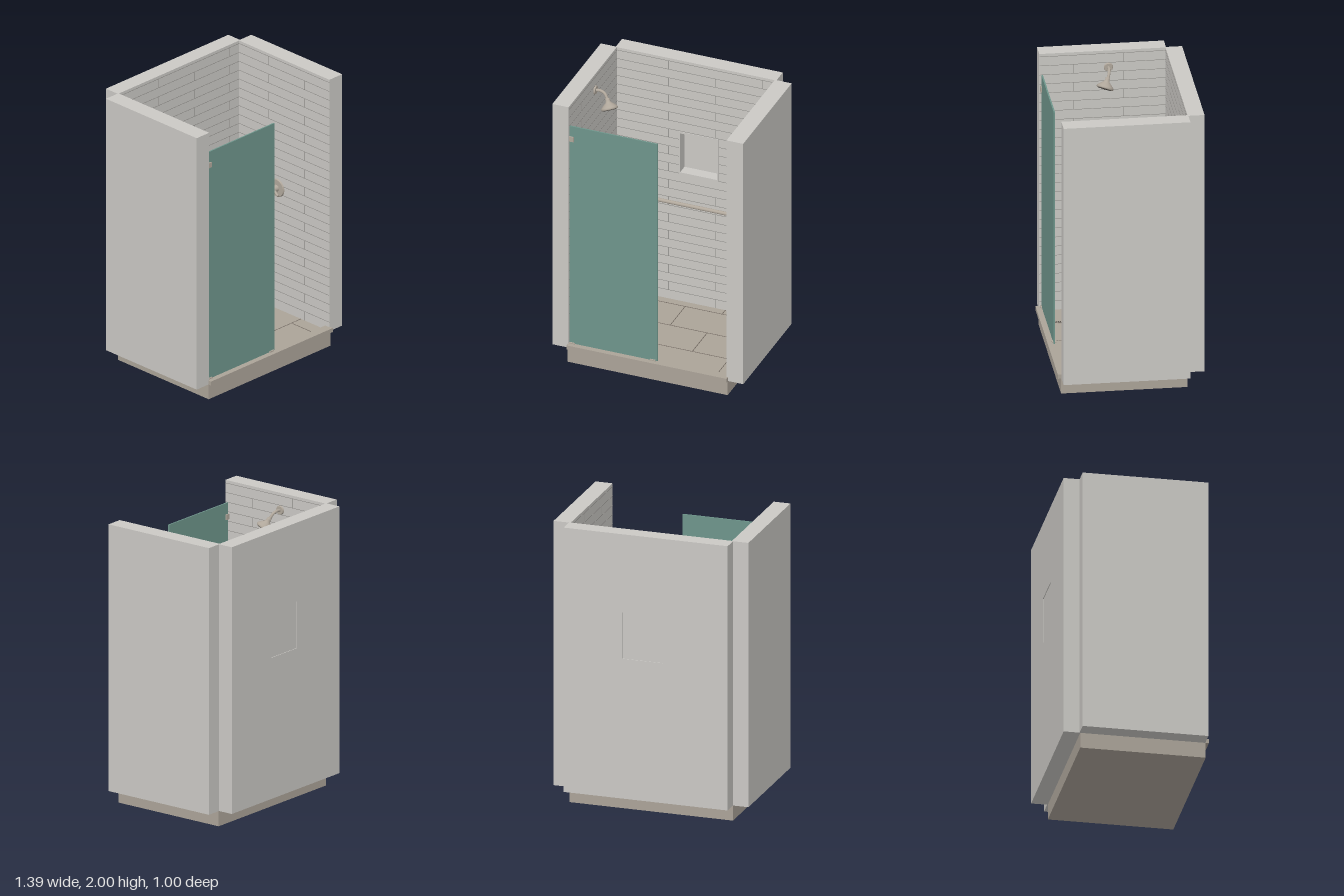
import * as THREE from 'three';

const mat = (name, color, side = THREE.FrontSide) => {
  const m = new THREE.MeshStandardMaterial({ color, side });
  m.name = name;
  return m;
};

export function createModel() {
  const wall = mat('light grey wall', 0xcac8c4);
  const grout = mat('grey grout', 0x8f8d89);
  const floor = mat('beige stone', 0xaba398);
  const floorGrout = mat('brown floor grout', 0x776f66);
  const metal = mat('brushed nickel', 0xb0a79b);
  const dark = mat('dark slots', 0x36322e);
  const glass = mat('green glass', 0x6e958b);

  const model = new THREE.Group();
  model.name = 'showerStall';
  const group = (name, parent = model) => {
    const g = new THREE.Group();
    g.name = name;
    parent.add(g);
    return g;
  };
  const add = (name, geo, m, parent = model) => {
    const mesh = new THREE.Mesh(geo, m);
    mesh.name = name;
    parent.add(mesh);
    return mesh;
  };
  // Box given by its lower and upper corners
  const box = (name, x0, y0, z0, x1, y1, z1, m, parent) => {
    const b = add(name, new THREE.BoxGeometry(x1 - x0, y1 - y0, z1 - z0), m, parent);
    b.position.set((x0 + x1) / 2, (y0 + y1) / 2, (z0 + z1) / 2);
    return b;
  };
  // Cylinder between two points
  const rod = (name, a, b, r0, r1, m, parent, sides = 24) => {
    const p = new THREE.Vector3(...a), q = new THREE.Vector3(...b);
    const d = q.clone().sub(p);
    const c = add(name, new THREE.CylinderGeometry(r1, r0, d.length(), sides), m, parent);
    c.position.copy(p).add(q).multiplyScalar(0.5);
    c.quaternion.setFromUnitVectors(new THREE.Vector3(0, 1, 0), d.normalize());
    return c;
  };

  // Base and front curb
  const FLOOR = 0.11, L = -0.578, R = 0.575, BACK = -0.385;
  box('base', -0.585, 0, BACK, 0.585, FLOOR, 0.478, floor);
  box('curb', -0.585, FLOOR, 0.435, 0.585, 0.14, 0.5, floor);

  // Side walls
  box('rightWall', -0.697, FLOOR, -0.39, L, 2, 0.475, wall);
  box('leftWall', R, FLOOR, -0.39, 0.697, 2, 0.475, wall);

  // Back wall with the niche opening
  const N = { x0: -0.122, x1: 0.165, y0: 1.11, y1: 1.44 };
  const rect = (T, x0, y0, x1, y1) => {
    const s = new T();
    s.moveTo(x0, y0).lineTo(x1, y0).lineTo(x1, y1).lineTo(x0, y1).closePath();
    return s;
  };
  const backShape = rect(THREE.Shape, -0.587, FLOOR, 0.587, 2);
  backShape.holes.push(rect(THREE.Path, N.x0, N.y0, N.x1, N.y1));
  add('backWall', new THREE.ExtrudeGeometry(backShape, { depth: 0.115, bevelEnabled: false }), wall)
    .position.z = -0.5;
  box('nicheBack', N.x0, N.y0, -0.495, N.x1, N.y1, -0.48, wall);
  const trim = rect(THREE.Shape, N.x0 - 0.002, N.y0 - 0.002, N.x1 + 0.002, N.y1 + 0.002);
  trim.holes.push(rect(THREE.Path, N.x0 + 0.008, N.y0 + 0.012, N.x1 - 0.008, N.y1 - 0.012));
  add('nicheTrim', new THREE.ExtrudeGeometry(trim, { depth: 0.015, bevelEnabled: false }), wall)
    .position.z = BACK - 0.011;

  // Wall tile joints: rows in running bond on three walls
  const joints = group('wallTileJoints');
  const t = 0.0015, row = 0.0667, w = 0.0015;
  for (let k = 0; k < 28; k++) {
    const y = 0.178 + k * row;
    const inNiche = (yy) => yy > N.y0 - 0.003 && yy < N.y1 + 0.003;
    const top = Math.min(y, 2), low = Math.max(y - row, FLOOR);
    if (y < 1.99) {
      const spans = inNiche(y) ? [[L, N.x0 - 0.002], [N.x1 + 0.002, R]] : [[L, R]];
      for (const [a, b] of spans) box('backJoint', a, y - w, BACK, b, y + w, BACK + t, grout, joints);
      box('rightJoint', L, y - w, BACK, L + t, y + w, 0.474, grout, joints);
      box('leftJoint', R - t, y - w, BACK, R, y + w, 0.474, grout, joints);
    }
    const xs = k % 2 ? [-0.2, 0.485] : [0.142];
    for (const x of xs) {
      if (x > N.x0 && x < N.x1 && top > N.y0 && low < N.y1) continue;
      box('backUpright', x - w, low, BACK, x + w, top, BACK + t, grout, joints);
    }
    const z = k % 2 ? -0.1 : 0.24;
    box('rightUpright', L, low, z - w, L + t, top, z + w, grout, joints);
    box('leftUpright', R - t, low, z - w, R, top, z + w, grout, joints);
  }

  // Floor tile joints
  const floorJoints = group('floorTileJoints');
  const zs = [BACK, -0.327, -0.06, 0.205, 0.435], f = 0.003;
  for (let i = 0; i < 4; i++) {
    if (i) box('floorRow', L, FLOOR, zs[i] - f, R, FLOOR + 0.001, zs[i] + f, floorGrout, floorJoints);
    for (const x of i % 2 ? [-0.055, 0.483] : [-0.322, 0.215])
      box('floorCross', x - f, FLOOR, zs[i], x + f, FLOOR + 0.001, zs[i + 1], floorGrout, floorJoints);
  }

  // Linear drain with a chevron grate
  const drain = group('drain');
  const dx = -0.357;
  box('drainCover', dx - 0.018, FLOOR, -0.38, dx + 0.018, FLOOR + 0.003, 0.432, metal, drain);
  for (let i = 0; i < 52; i++) {
    for (const s of [-1, 1]) {
      const slot = add('drainSlot', new THREE.BoxGeometry(0.016, 0.001, 0.005), dark, drain);
      slot.position.set(dx + s * 0.008, FLOOR + 0.0033, -0.37 + i * 0.0155);
      slot.rotation.y = s * 0.6;
    }
  }

  // Corner seat: triangular slab
  const tri = new THREE.Shape();
  tri.moveTo(0.285, -BACK).lineTo(R, 0.04).lineTo(R, -BACK).closePath();
  const seat = add('cornerSeat', new THREE.ExtrudeGeometry(tri, { depth: 0.05, bevelEnabled: false }), wall);
  seat.rotation.x = -Math.PI / 2;
  seat.position.y = 0.475;

  // Glass panel and its clips
  box('glassPanel', -0.576, 0.14, 0.45, 0.065, 1.845, 0.46, glass);
  const clips = group('glassClips');
  for (const x of [-0.557, 0.032])
    box('bottomClip', x - 0.02, 0.138, 0.441, x + 0.02, 0.148, 0.469, metal, clips);
  box('wallClip', L, 1.728, 0.441, -0.546, 1.766, 0.469, metal, clips);

  // Grab bar
  const bar = group('grabBar');
  rod('barTube', [-0.365, 0.9, -0.338], [0.33, 0.9, -0.338], 0.013, 0.013, metal, bar);
  for (const x of [-0.357, 0.32]) {
    rod('barPost', [x, 0.9, BACK], [x, 0.9, -0.328], 0.013, 0.013, metal, bar);
    rod('barFlange', [x, 0.9, BACK], [x, 0.9, BACK + 0.008], 0.028, 0.028, metal, bar);
  }

  // Shower head on a bent arm
  const shower = group('showerHead');
  rod('armFlange', [L, 1.878, 0.003], [L + 0.01, 1.878, 0.003], 0.032, 0.028, metal, shower);
  const arm = new THREE.CatmullRomCurve3([[L, 1.878, 0.003], [-0.535, 1.88, 0.003],
    [-0.505, 1.868, 0.008], [-0.483, 1.838, 0.018]].map((p) => new THREE.Vector3(...p)));
  add('arm', new THREE.TubeGeometry(arm, 20, 0.01, 14), metal, shower);
  const bell = [[0, 0], [0.054, 0], [0.059, 0.006], [0.057, 0.016], [0.036, 0.036],
    [0.019, 0.05], [0.015, 0.066], [0.016, 0.078], [0, 0.082]].map((p) => new THREE.Vector2(...p));
  const head = group('head', shower);
  add('headBell', new THREE.LatheGeometry(bell, 32), metal, head);
  add('headFace', new THREE.CylinderGeometry(0.046, 0.046, 0.004, 32), dark, head).position.y = -0.001;
  head.position.set(-0.453, 1.774, 0.045);
  head.quaternion.setFromUnitVectors(new THREE.Vector3(0, 1, 0),
    new THREE.Vector3(-0.03, 0.07, -0.027).normalize());

  // Valve with lever
  const valve = group('valve');
  rod('valvePlate', [R, 1.02, -0.02], [R - 0.01, 1.02, -0.02], 0.066, 0.062, metal, valve, 32);
  rod('valveStem', [R - 0.01, 1.02, -0.02], [0.528, 1.02, -0.02], 0.024, 0.018, metal, valve);
  rod('valveLever', [0.54, 1.022, -0.03], [0.522, 0.993, 0.038], 0.011, 0.008, metal, valve, 16);

  return model;
}
